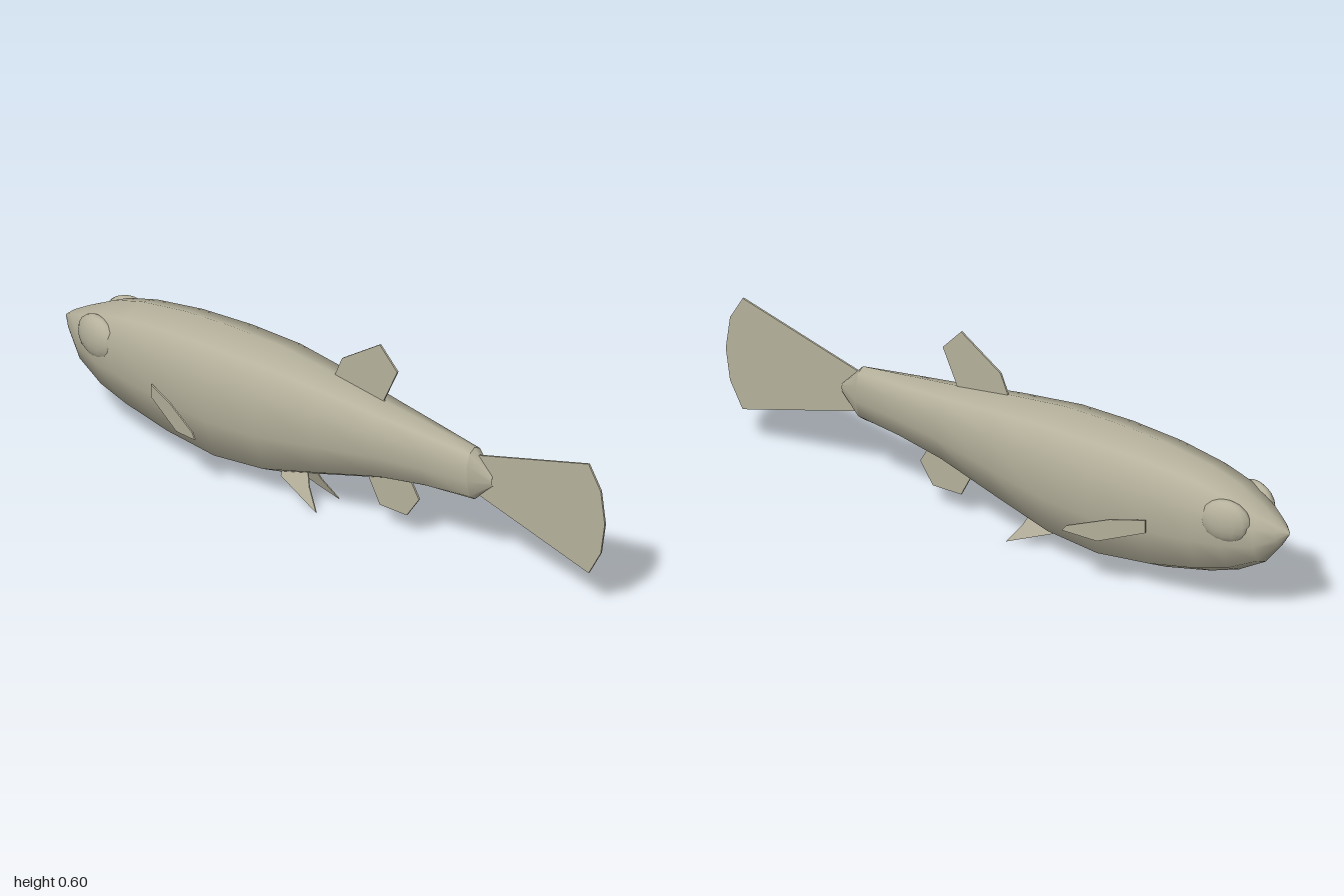
import * as THREE from 'three';

const skin = new THREE.MeshStandardMaterial({ color: 0xb5b19c });
skin.name = 'olive grey skin';

// Ten-sided cross-section: half-width factor and height factor, clockwise from the top
const half = [[0, 1], [0.68, 0.925], [1, 0.727], [1, 0.416], [0.68, 0.114], [0, 0]];
const section = [...half, ...half.slice(1, 5).reverse().map(([x, y]) => [-x, y])];

// Smooth skin over rows of [z, top, bottom, half width]
function loft(rows) {
  const n = section.length, pos = [], index = [];
  for (const [z, top, bottom, w] of rows)
    for (const [x, y] of section) pos.push(x * w, bottom + y * (top - bottom), z);
  for (let i = 0; i < rows.length - 1; i++)
    for (let j = 0; j < n; j++) {
      const a = i * n + j, b = i * n + (j + 1) % n, c = a + n, d = b + n;
      index.push(a, c, b, b, c, d);
    }
  const g = new THREE.BufferGeometry();
  g.setAttribute('position', new THREE.Float32BufferAttribute(pos, 3));
  g.setIndex(index);
  g.computeVertexNormals();
  return g;
}

// Thin plate outlined in (z, y); lean(z, y) gives its sideways offset
function fin(points, lean = () => 0, depth = 0.006) {
  const shape = new THREE.Shape(points.map(p => new THREE.Vector2(...p)));
  const g = new THREE.ExtrudeGeometry(shape, { depth, bevelEnabled: false });
  g.translate(0, 0, -depth / 2).rotateY(-Math.PI / 2);
  const p = g.attributes.position;
  for (let i = 0; i < p.count; i++) p.setX(i, p.getX(i) + lean(p.getZ(i), p.getY(i)));
  g.computeVertexNormals();
  return g;
}

export function createModel() {
  const group = new THREE.Group();
  const add = (name, geometry) => {
    const mesh = new THREE.Mesh(geometry, skin);
    mesh.name = name;
    group.add(mesh);
    return mesh;
  };

  // Body from nose to tail root
  const tailRoot = [0.515, 0.385, 0.213, 0.036];
  add('body', loft([
    [-1, 0.296, 0.292, 0.002],
    [-0.97, 0.322, 0.245, 0.03],
    [-0.915, 0.355, 0.178, 0.066],
    [-0.82, 0.405, 0.124, 0.096],
    [-0.72, 0.435, 0.09, 0.109],
    [-0.56, 0.46, 0.054, 0.124],
    [-0.38, 0.471, 0.033, 0.133],
    [-0.2, 0.47, 0.053, 0.129],
    [0, 0.448, 0.113, 0.107],
    [0.2, 0.42, 0.173, 0.08],
    [0.36, 0.402, 0.2, 0.058],
    tailRoot,
  ]));
  add('tailRootCap', loft([tailRoot, [0.585, 0.312, 0.28, 0.008]]));

  // Fins on the centre line
  add('tailFin', fin([[0.5, 0.365], [0.53, 0.365], [0.94, 0.48], [0.985, 0.405], [1, 0.3],
    [0.985, 0.2], [0.94, 0.118], [0.53, 0.235], [0.5, 0.235]]));
  add('dorsalFin', fin([[0.19, 0.4], [0.18, 0.425], [0.23, 0.535], [0.165, 0.604],
    [0.025, 0.51], [0, 0.45], [0, 0.43]]));
  add('analFin', fin([[0.27, 0.21], [0.31, 0.14], [0.265, 0.073], [0.165, 0.073],
    [0.125, 0.15], [0.125, 0.19]]));

  for (const [side, label] of [[1, 'left'], [-1, 'right']]) {
    // Swept-back side fin
    add(label + 'PectoralFin', fin([[-0.58, 0.267], [-0.48, 0.256], [-0.36, 0.22], [-0.347, 0.203],
      [-0.445, 0.181], [-0.58, 0.226]], z => side * (0.13 + (z + 0.58) * 0.38), 0.005));
    // Small splayed belly fin
    add(label + 'PelvicFin', fin([[-0.18, 0.075], [-0.09, 0.095], [-0.075, 0.06], [-0.03, 0],
      [-0.18, 0.06]], (z, y) => side * (0.053 - y * 0.4), 0.004));
    // Shallow eye bulge
    const eye = add(label + 'Eye', new THREE.SphereGeometry(1, 14, 10));
    eye.scale.set(0.034, 0.068, 0.08);
    eye.position.set(side * 0.074, 0.315, -0.825);
    eye.rotation.y = side * 0.2;
  }
  return group;
}
